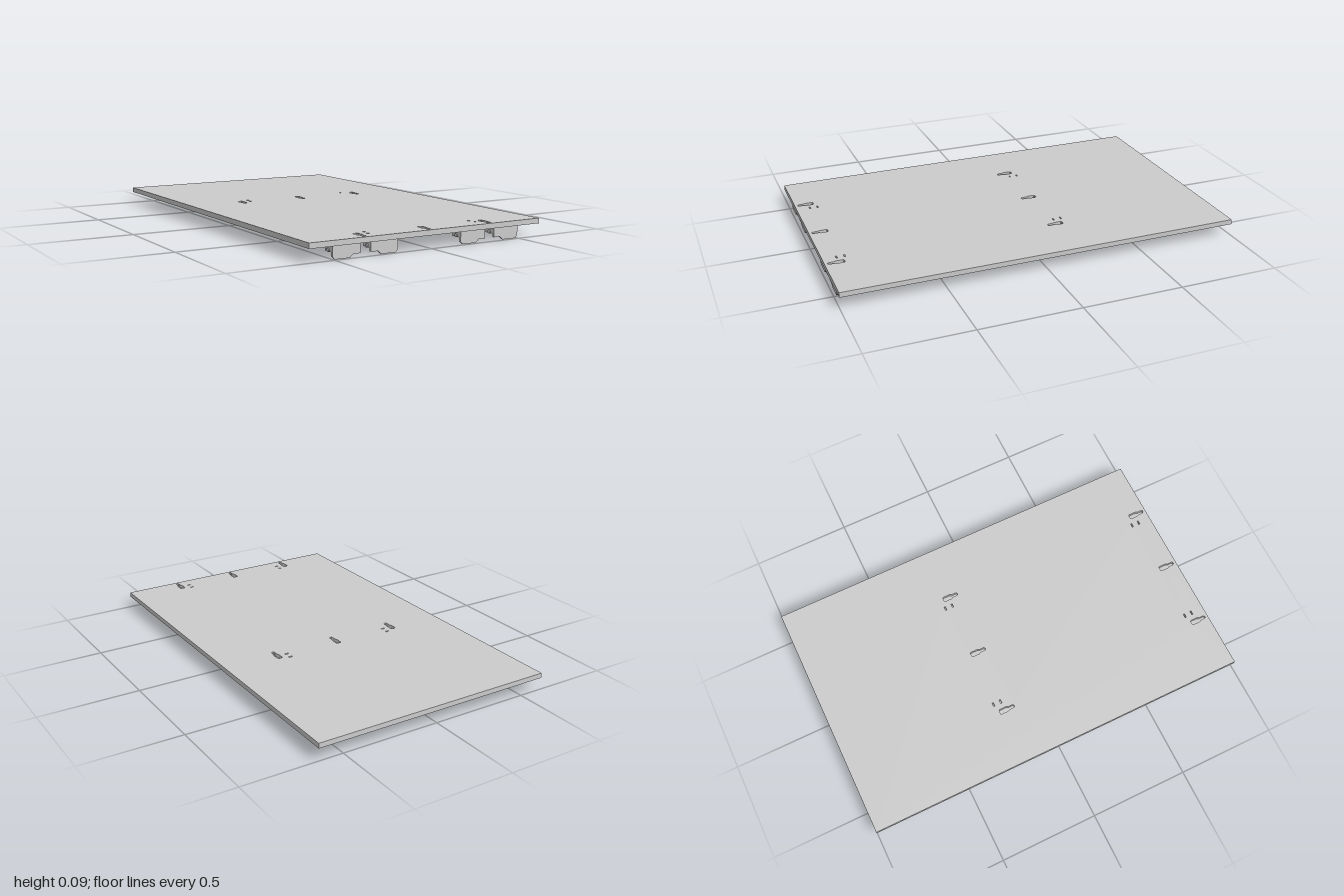
import * as THREE from 'three';

const mat = new THREE.MeshStandardMaterial({ color: 0xcccccc, flatShading: true });
const W = 0.6225; // half width of the board

const path = (pts) => new THREE.Path(pts.map(([x, z]) => new THREE.Vector2(x, z)));
const rect = (x0, x1, z0, z1) => path([[x0, z0], [x1, z0], [x1, z1], [x0, z1]]);

// Keyhole pocket: wide head at the back, narrow slot with a rounded end in front
const keyhole = (x, z) => path([
  [x - 0.013, z + 0.004], [x - 0.009, z], [x + 0.009, z], [x + 0.013, z + 0.004],
  [x + 0.013, z + 0.04], [x + 0.008, z + 0.05], [x + 0.008, z + 0.074], [x + 0.004, z + 0.08],
  [x - 0.004, z + 0.08], [x - 0.008, z + 0.074], [x - 0.008, z + 0.05], [x - 0.013, z + 0.04],
]);

// Horizontal slab of the board with openings cut through it
function layer(name, bottom, top, holes) {
  const shape = new THREE.Shape([[-W, -1], [W, -1], [W, 1], [-W, 1]].map(([x, z]) => new THREE.Vector2(x, z)));
  shape.holes.push(...holes);
  const geo = new THREE.ExtrudeGeometry(shape, { depth: top - bottom, bevelEnabled: false });
  geo.rotateX(Math.PI / 2).translate(0, top, 0);
  const mesh = new THREE.Mesh(geo, mat);
  mesh.name = name;
  return mesh;
}

function box(name, x0, x1, y0, y1, z0, z1) {
  const mesh = new THREE.Mesh(new THREE.BoxGeometry(x1 - x0, y1 - y0, z1 - z0), mat);
  mesh.position.set((x0 + x1) / 2, (y0 + y1) / 2, (z0 + z1) / 2);
  mesh.name = name;
  return mesh;
}

// Hanging bracket; dir = 1 puts the notch of the front plate on the +x side
function bracket(cx, dir) {
  const g = new THREE.Group();
  g.name = 'bracket';
  const outline = [[-0.07, 0.06], [-0.07, 0.013], [-0.057, 0], [0.016, 0], [0.034, 0.015], [0.07, 0.015], [0.07, 0.06]];
  const shape = new THREE.Shape(outline.map(([x, y]) => new THREE.Vector2(x * dir, y)));
  const plate = new THREE.Mesh(
    new THREE.ExtrudeGeometry(shape, { depth: 0.01, bevelEnabled: false }).translate(0, 0, 0.976), mat);
  plate.name = 'frontPlate';
  g.add(plate);
  // Side lugs with a short pin through each
  for (const s of [-1, 1]) {
    const x0 = s < 0 ? -0.068 : 0.036;
    g.add(box('sideLug', x0, x0 + 0.032, 0.03, 0.06, 0.922, 0.977));
    const pin = new THREE.Mesh(new THREE.CylinderGeometry(0.009, 0.009, 0.02, 12).rotateZ(Math.PI / 2), mat);
    pin.position.set(s * 0.0625, 0.037, 0.952);
    pin.name = 'pin';
    g.add(pin);
  }
  // Web joining the lugs under the board
  g.add(box('web', -0.037, 0.037, 0.045, 0.06, 0.945, 0.977));
  g.position.x = cx;
  return g;
}

export function createModel() {
  const model = new THREE.Group();
  model.name = 'mountingBoard';

  // Recesses in the underside: two large bays and a narrow groove
  const bays = () => [
    rect(-0.6, 0.6, -0.975, -0.225),
    rect(-0.605, 0.605, -0.08, 0.81),
    rect(-0.605, 0.605, 0.835, 0.865),
  ];

  // Pockets in the top face: keyholes and paired slots, in two rows
  const pockets = () => {
    const list = [];
    for (const z of [-0.2, 0.905]) {
      for (const x of [-0.34, 0, 0.34]) list.push(keyhole(x, z));
      for (const x of [-0.29, 0.29])
        for (const dz of [-0.012, 0.027]) list.push(rect(x - 0.01, x + 0.01, z + dz - 0.003, z + dz + 0.004));
    }
    return list;
  };

  const board = new THREE.Group();
  board.name = 'board';
  board.add(layer('lowerFrame', 0.06, 0.068, bays()));
  board.add(layer('core', 0.068, 0.08, [...bays(), ...pockets()]));
  board.add(layer('topSkin', 0.08, 0.085, pockets()));
  model.add(board);

  // Two mirrored pairs of brackets along the front edge
  for (const s of [-1, 1]) {
    model.add(bracket(s * 0.433, -s));
    model.add(bracket(s * 0.241, s));
  }
  return model;
}
